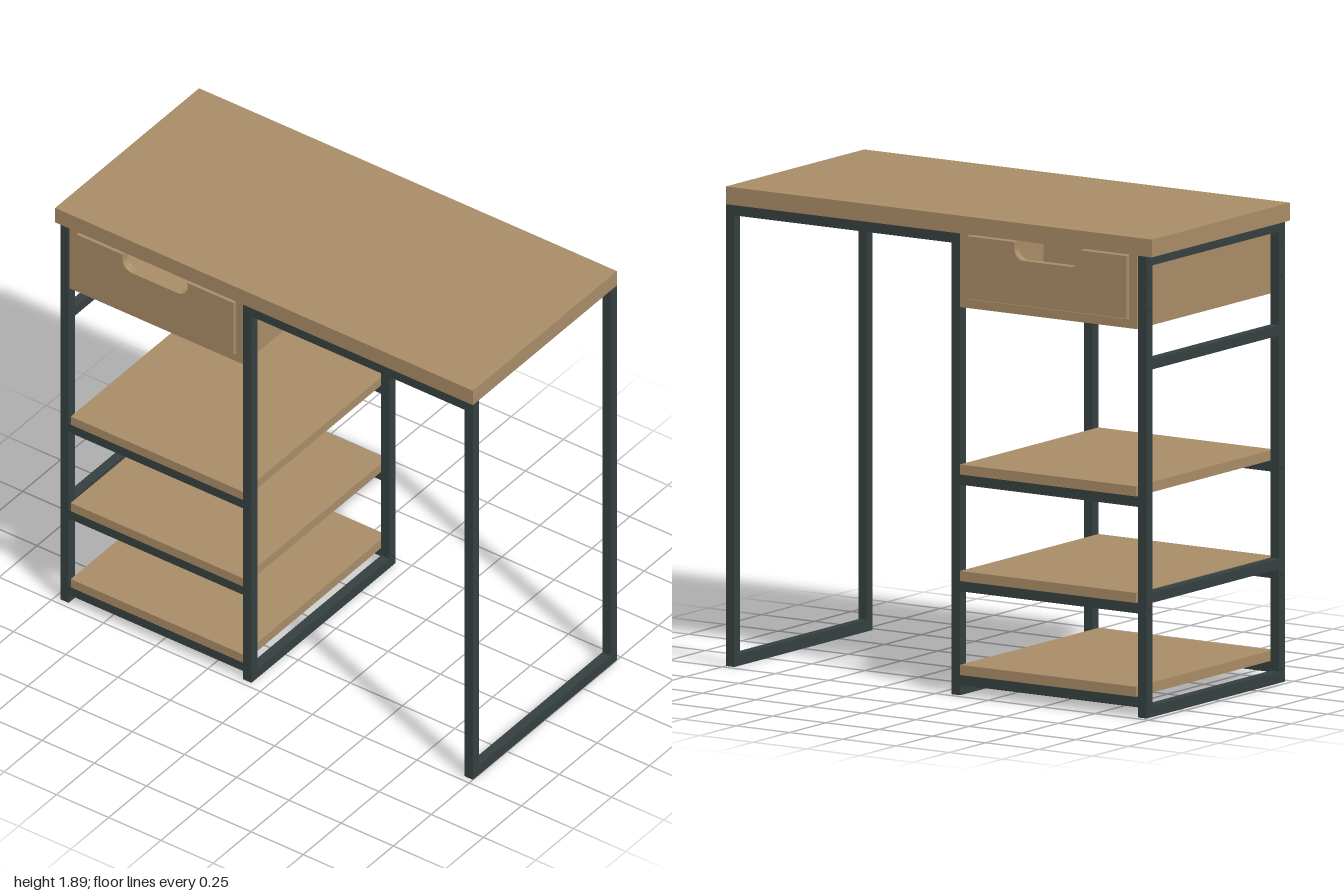
import * as THREE from 'three';

export function createModel() {
  const model = new THREE.Group();
  model.name = 'desk';
  const wood = new THREE.MeshStandardMaterial({ color: 0xa98c68 });
  const steel = new THREE.MeshStandardMaterial({ color: 0x364040 });

  // Box given by its low and high corner on each axis
  function box(name, mat, [x0, x1], [y0, y1], [z0, z1]) {
    const mesh = new THREE.Mesh(new THREE.BoxGeometry(x1 - x0, y1 - y0, z1 - z0), mat);
    mesh.position.set((x0 + x1) / 2, (y0 + y1) / 2, (z0 + z1) / 2);
    mesh.name = name;
    model.add(mesh);
    return mesh;
  }

  const W = 0.475, T = 0.04, I = W - T; // half width, tube size, inner half width
  const under = 1.82;
  const front = [0.96, 1], middle = [-0.1, -0.06], rear = [-0.975, -0.935];

  box('tableTop', wood, [-W, W], [under, 1.89], [-1, 1]);

  // Posts and side rails, mirrored left and right
  for (const s of [-1, 1]) {
    const x = s > 0 ? [I, W] : [-W, -I];
    const side = s > 0 ? 'left' : 'right';
    box(side + 'FrontLeg', steel, x, [0, under], front);
    box(side + 'MiddleLeg', steel, x, [0, under], middle);
    box(side + 'RearLeg', steel, x, [0, under], rear);
    box(side + 'TopRail', steel, x, [under - T, under], [-0.06, 0.96]);
    for (const y of [0.08, 0.45, 0.87]) {
      box(side + 'ShelfRail', steel, x, [y - T, y], [-0.935, -0.1]);
    }
    // Bolt heads on the outer faces of the posts
    for (const y of [0.06, 0.43, 0.85, 1.61, 1.73]) {
      for (const z of [-0.06, -0.975]) {
        const bolt = new THREE.Mesh(new THREE.CylinderGeometry(0.009, 0.009, 0.012, 12), steel);
        bolt.rotation.x = Math.PI / 2;
        bolt.position.set(s * (W - T / 2), y, z);
        bolt.name = 'bolt';
        model.add(bolt);
      }
    }
  }

  // Cross bars
  for (const z of [front, middle, rear]) box('footBar', steel, [-I, I], [0, 0.045], z);
  for (const y of [0.45, 1.37, under - T]) box('rearBar', steel, [-I, I], [y, y + T], rear);

  // Shelves
  for (const y of [0.08, 0.45, 0.87]) box('shelf', wood, [-W, W], [y, y + T], [-0.925, -0.1]);

  // Drawer case, open on both sides
  box('caseFrontPanel', wood, [-W, W], [1.53, under], [-0.135, -0.1]);
  box('caseRearPanel', wood, [-W, W], [1.53, under], [-0.93, -0.892]);
  box('caseBottom', wood, [-W, W], [1.53, 1.565], [-0.892, -0.135]);

  // Drawer body
  box('drawerBottom', wood, [-0.45, 0.45], [1.57, 1.59], [-0.87, -0.155]);
  box('drawerWall', wood, [-0.45, 0.45], [1.57, 1.785], [-0.175, -0.155]);
  box('drawerWall', wood, [-0.45, 0.45], [1.57, 1.785], [-0.87, -0.85]);
  box('drawerDivider', wood, [-0.012, 0.012], [1.59, 1.785], [-0.85, -0.175]);

  // Drawer faces with a rounded finger notch in the top edge
  const top = 1.815, low = 1.745, r = 0.045, n0 = 0.36, n1 = 0.67;
  const face = new THREE.Shape();
  face.moveTo(0.14, 1.568);
  face.lineTo(0.888, 1.568);
  face.lineTo(0.888, top);
  face.lineTo(n1, top);
  face.lineTo(n1, low + r);
  face.absarc(n1 - r, low + r, r, 0, -Math.PI / 2, true);
  face.lineTo(n0 + r, low);
  face.absarc(n0 + r, low + r, r, -Math.PI / 2, -Math.PI, true);
  face.lineTo(n0, top);
  face.lineTo(0.14, top);
  face.closePath();
  const faceGeo = new THREE.ExtrudeGeometry(face, { depth: 0.034, bevelEnabled: false, curveSegments: 8 });
  faceGeo.rotateY(Math.PI / 2); // shape x becomes -z, depth becomes +x
  for (const x of [0.45, -0.484]) {
    const mesh = new THREE.Mesh(faceGeo, wood);
    mesh.position.x = x;
    mesh.name = x > 0 ? 'leftDrawerFace' : 'rightDrawerFace';
    model.add(mesh);
  }

  return model;
}
